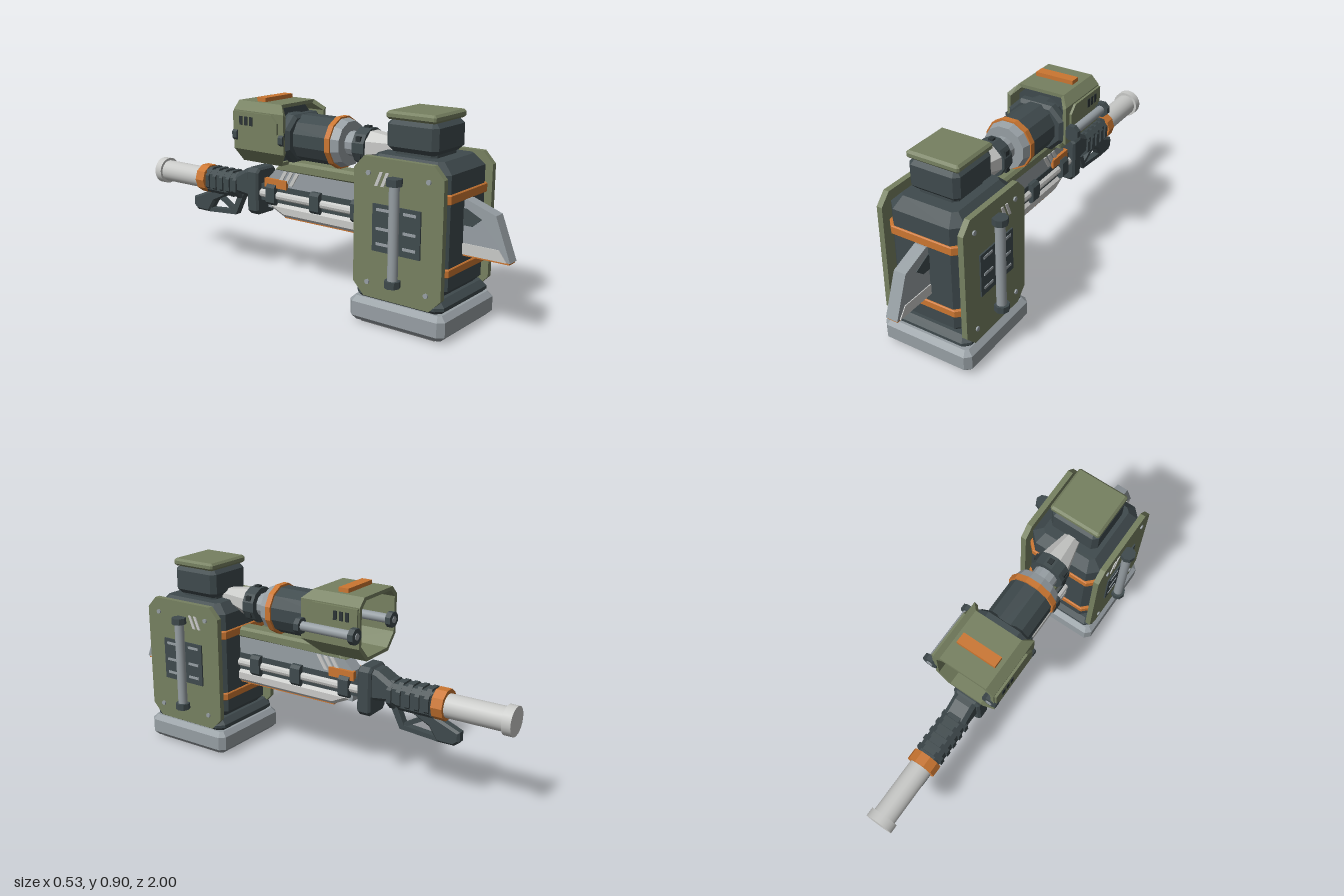
import * as THREE from 'three';

const mat = (name, color) => Object.assign(new THREE.MeshStandardMaterial({ color }), { name });
const M = {
  dark: mat('charcoal', 0x3f4a4d),
  olive: mat('olive', 0x768060),
  gray: mat('steel gray', 0x969ea3),
  light: mat('pale metal', 0xc8c9c7),
  orange: mat('orange', 0xcb7631),
  black: mat('dark recess', 0x2b3335),
  sole: mat('sole gray', 0x68696a),
};

const shapeOf = pts => new THREE.Shape(pts.map(p => new THREE.Vector2(p[0], p[1])));

// Rectangle centred on 0 with cut corners
function cutRect(w, h, c) {
  const a = w / 2, b = h / 2;
  if (!c) return [[-a, -b], [a, -b], [a, b], [-a, b]];
  return [[-a + c, -b], [a - c, -b], [a, -b + c], [a, b - c], [a - c, b], [-a + c, b], [-a, b - c], [-a, -b + c]];
}

// Extrusion centred along its depth, with a one-step chamfer kept inside the outline
function prism(pts, depth, bevel = 0, hole = null) {
  const s = shapeOf(pts);
  if (hole) s.holes.push(new THREE.Path(hole.map(p => new THREE.Vector2(p[0], p[1]))));
  return new THREE.ExtrudeGeometry(s, {
    depth: depth - 2 * bevel, bevelEnabled: bevel > 0, bevelThickness: bevel,
    bevelSize: bevel, bevelOffset: -bevel, bevelSegments: 1, curveSegments: 8,
  }).translate(0, 0, -(depth - 2 * bevel) / 2);
}

export function createModel() {
  const root = new THREE.Group();
  root.name = 'fieldDevice';

  const add = (name, geo, m, x = 0, y = 0, z = 0) => {
    const mesh = new THREE.Mesh(geo, m);
    mesh.name = name;
    mesh.position.set(x, y, z);
    root.add(mesh);
    return mesh;
  };
  const box = (name, m, w, h, d, x, y, z) => add(name, new THREE.BoxGeometry(w, h, d), m, x, y, z);
  // Upright block with cut vertical corners and chamfered rims
  const block = (name, m, w, y0, y1, d, z, corner, bevel) =>
    add(name, prism(cutRect(w, d, corner), y1 - y0, bevel).rotateX(-Math.PI / 2), m, 0, (y0 + y1) / 2, z);
  // Side outline in [z, y], given a thickness in x
  const side = (name, m, pts, width, bevel = 0, x = 0) =>
    add(name, prism(pts, width, bevel).rotateY(-Math.PI / 2), m, x);
  // Cylinder along z from z0 to z1 (r0 at z0, r1 at z1)
  const rod = (name, m, r0, r1, z0, z1, x, y, sides = 12) => {
    let g = new THREE.CylinderGeometry(r1, r0, z1 - z0, sides).rotateX(Math.PI / 2);
    g.rotateZ(Math.PI / sides);
    if (sides <= 12) { g = g.toNonIndexed(); g.computeVertexNormals(); }
    return add(name, g, m, x, y, (z0 + z1) / 2);
  };
  const post = (name, m, r, y0, y1, x, z, sides) => {
    let g = new THREE.CylinderGeometry(r, r, y1 - y0, sides);
    if (sides <= 8) { g = g.toNonIndexed(); g.computeVertexNormals(); }
    return add(name, g, m, x, (y0 + y1) / 2, z);
  };

  // Base and sole
  const CZ = 0.585;
  block('base', M.gray, 0.444, 0.008, 0.115, 0.465, CZ, 0.025, 0.022);
  for (const x of [-0.148, 0, 0.148]) box('soleTread', M.sole, 0.085, 0.012, 0.36, x, 0.006, CZ);
  block('baseCollar', M.dark, 0.41, 0.105, 0.168, 0.425, CZ, 0.03, 0.025);

  // Body canister, bands and head
  block('body', M.dark, 0.36, 0.155, 0.722, 0.405, CZ, 0.045, 0.045);
  for (const [y0, y1] of [[0.26, 0.295], [0.56, 0.6]])
    block('band', M.orange, 0.37, y0, y1, 0.42, CZ, 0.04, 0.004);
  block('headNeck', M.dark, 0.19, 0.7, 0.75, 0.2, CZ, 0.02, 0);
  block('head', M.dark, 0.242, 0.733, 0.868, 0.245, 0.583, 0.022, 0.022);
  block('headLid', M.olive, 0.25, 0.865, 0.9, 0.235, 0.583, 0.008, 0.01);

  // Side armour with its panel, handle, screws and marks
  const plate = [[0.42, 0.722], [0.75, 0.722], [0.798, 0.67], [0.798, 0.18], [0.745, 0.125], [0.425, 0.125], [0.372, 0.18], [0.372, 0.67]];
  for (const s of [-1, 1]) {
    side('sidePlate', M.olive, plate, 0.026, 0, s * 0.194);
    box('sidePanel', M.dark, 0.008, 0.2, 0.23, s * 0.21, 0.432, CZ);
    for (const y of [0.365, 0.43, 0.51]) for (const z of [0.52, 0.65])
      box('panelSlot', M.gray, 0.008, 0.012, 0.06, s * 0.213, y, z);
    post('sideHandle', M.gray, 0.022, 0.22, 0.63, s * 0.23, CZ, 16);
    for (const y of [0.2, 0.624]) post('handleCap', M.dark, 0.034, y, y + 0.03, s * 0.231, CZ, 8);
    for (const y of [0.19, 0.655]) for (const z of [0.445, 0.73]) {
      const g = new THREE.CylinderGeometry(0.011, 0.011, 0.008, 8).rotateZ(Math.PI / 2);
      add('screw', g, M.gray, s * 0.21, y, z);
    }
    for (const z of [0.52, 0.49])
      side('plateMark', M.light, [[z + 0.025, 0.665], [z + 0.01, 0.665], [z - 0.015, 0.605], [z, 0.605]], 0.005, 0, s * 0.209);
  }

  // Long spar through the body with its pointed front blade
  side('frontBlade', M.gray, [[1, 0.333], [0.93, 0.515], [0.8, 0.562], [0.6, 0.562], [0.6, 0.333]], 0.056);
  side('bladeInset', M.dark, [[0.87, 0.49], [0.8, 0.525], [0.7, 0.525], [0.7, 0.455], [0.83, 0.455]], 0.064);
  side('bladeFoot', M.light, [[0.985, 0.333], [0.95, 0.38], [0.6, 0.38], [0.6, 0.333]], 0.064);
  box('bladeKeel', M.orange, 0.05, 0.01, 0.4, 0, 0.33, 0.795);
  side('spar', M.gray, [[0.5, 0.55], [-0.2, 0.55], [-0.25, 0.5], [-0.25, 0.36], [-0.2, 0.36], [0.5, 0.36]], 0.07);
  side('sparSpine', M.olive, [[0.5, 0.597], [-0.15, 0.597], [-0.21, 0.545], [0.5, 0.545]], 0.084, 0.012);
  side('sparRail', M.dark, [[0.5, 0.47], [-0.29, 0.47], [-0.29, 0.39], [0.5, 0.39]], 0.078);
  side('sparKeel', M.light, [[0.5, 0.39], [-0.23, 0.39], [-0.23, 0.365], [-0.15, 0.328], [0.5, 0.328]], 0.1, 0.015);
  box('keelStrip', M.orange, 0.068, 0.008, 0.64, 0, 0.327, 0.17);
  for (const s of [-1, 1]) {
    rod('sparPipe', M.light, 0.02, 0.02, -0.3, 0.45, s * 0.036, 0.425, 10);
    for (const z of [0.275, 0.045, -0.215])
      add('pipeClip', prism(cutRect(0.052, 0.098, 0.014), 0.052), M.dark, s * 0.04, 0.428, z);
    box('sparTag', M.orange, 0.022, 0.042, 0.13, s * 0.038, 0.482, -0.195);
    for (const z of [-0.06, -0.095, -0.13])
      side('sparMark', M.light, [[z, 0.545], [z - 0.02, 0.545], [z - 0.06, 0.482], [z - 0.04, 0.482]], 0.006, 0, s * 0.038);
  }

  // Rear grip, trigger and tail tube
  add('gripBlock', prism(cutRect(0.14, 0.225, 0.02), 0.068, 0.01), M.dark, 0, 0.43, -0.323);
  side('handGuard', M.dark, [[-0.34, 0.535], [-0.38, 0.53], [-0.45, 0.49], [-0.65, 0.49], [-0.65, 0.375], [-0.5, 0.375], [-0.43, 0.4], [-0.34, 0.39]], 0.11, 0.018);
  for (let i = 0; i < 5; i++)
    add('gripRib', prism(cutRect(0.128, 0.128, 0.035), 0.022), M.dark, 0, 0.435, -0.445 - i * 0.045);
  side('pistolGrip', M.dark, [[-0.5, 0.39], [-0.64, 0.38], [-0.765, 0.33], [-0.765, 0.285], [-0.74, 0.265], [-0.66, 0.265], [-0.62, 0.325]], 0.05, 0.01);
  side('triggerGuard', M.dark, [[-0.42, 0.4], [-0.455, 0.4], [-0.5, 0.3], [-0.67, 0.285], [-0.67, 0.265], [-0.48, 0.28]], 0.035);
  side('triggerStrut', M.dark, [[-0.49, 0.285], [-0.49, 0.305], [-0.6, 0.37], [-0.625, 0.36]], 0.025);
  rod('tailCollar', M.orange, 0.07, 0.07, -0.7, -0.648, 0, 0.435, 10);
  rod('tailTube', M.light, 0.053, 0.053, -0.98, -0.7, 0, 0.432, 24);
  rod('tailCap', M.light, 0.065, 0.065, -1, -0.96, 0, 0.432, 24);

  // Upper cannon, from neck to drum
  const CY = 0.715;
  const neck = rod('cannonNeck', M.light, 0.075, 0.032, 0.32, 0.5, 0, CY + 0.01, 8);
  neck.rotation.x = -0.08;
  rod('neckRing', M.dark, 0.083, 0.083, 0.265, 0.325, 0, CY, 12);
  for (let i = 0; i < 6; i++) {
    const a = i * Math.PI / 3 + Math.PI / 6;
    box('ringStud', M.black, 0.022, 0.022, 0.025, 0.078 * Math.cos(a), CY + 0.078 * Math.sin(a), 0.295);
  }
  rod('neckTube', M.gray, 0.056, 0.056, 0.19, 0.27, 0, CY, 12);
  rod('drumFlange', M.gray, 0.112, 0.1, 0.165, 0.208, 0, CY, 12);
  rod('drumBand', M.orange, 0.118, 0.118, 0.143, 0.17, 0, CY, 12);
  rod('drum', M.dark, 0.108, 0.108, -0.2, 0.145, 0, CY, 12);
  add('drumMount', prism(cutRect(0.28, 0.215, 0.06), 0.06, 0.015), M.dark, 0, CY, -0.07);

  // Hollow cowl open to the rear, its roof leaning back at the front
  const outer = [[-0.09, 0.583], [0.09, 0.583], [0.152, 0.65], [0.152, 0.83], [0.115, 0.868], [-0.115, 0.868], [-0.152, 0.83], [-0.152, 0.65]];
  const inner = outer.map(([x, y]) => [x * 0.89, 0.7255 + (y - 0.7255) * 0.89]).reverse();
  const cowl = prism(outer, 0.295, 0, inner).translate(0, 0, -0.2025);
  const p = cowl.attributes.position;
  for (let i = 0; i < p.count; i++) {
    if (p.getZ(i) < -0.1) continue;
    if (p.getY(i) > 0.845) p.setZ(i, -0.095);
    if (p.getY(i) < 0.61) p.setZ(i, -0.12);
  }
  cowl.computeVertexNormals();
  add('cowl', cowl, M.olive);
  add('cowlBulkhead', prism(cutRect(0.272, 0.25, 0.05), 0.02), M.dark, 0, 0.7255, -0.14);
  box('cowlRoofPlate', M.orange, 0.19, 0.022, 0.05, 0, 0.876, -0.232);
  for (const s of [-1, 1]) {
    side('cowlCheek', M.olive, [[-0.12, 0.825], [-0.345, 0.825], [-0.345, 0.74], [-0.085, 0.74], [-0.085, 0.79]], 0.014, 0, s * 0.156);
    for (const z of [-0.235, -0.265, -0.295])
      side('cowlVent', M.black, [[z + 0.008, 0.805], [z - 0.01, 0.805], [z - 0.01, 0.765], [z + 0.008, 0.765]], 0.006, 0, s * 0.163);
  }

  // Twin rods beside the cowl
  for (const x of [0.177, -0.128]) {
    rod('cowlRod', M.gray, 0.021, 0.021, -0.34, -0.06, x, CY, 16);
    rod('rodCapFront', M.dark, 0.037, 0.037, -0.08, -0.055, x, CY, 8);
    rod('rodCapRear', M.dark, 0.037, 0.037, -0.354, -0.328, x, CY, 8);
    rod('rodTip', M.gray, 0.015, 0.015, -0.357, -0.352, x, CY, 12);
  }
  return root;
}
